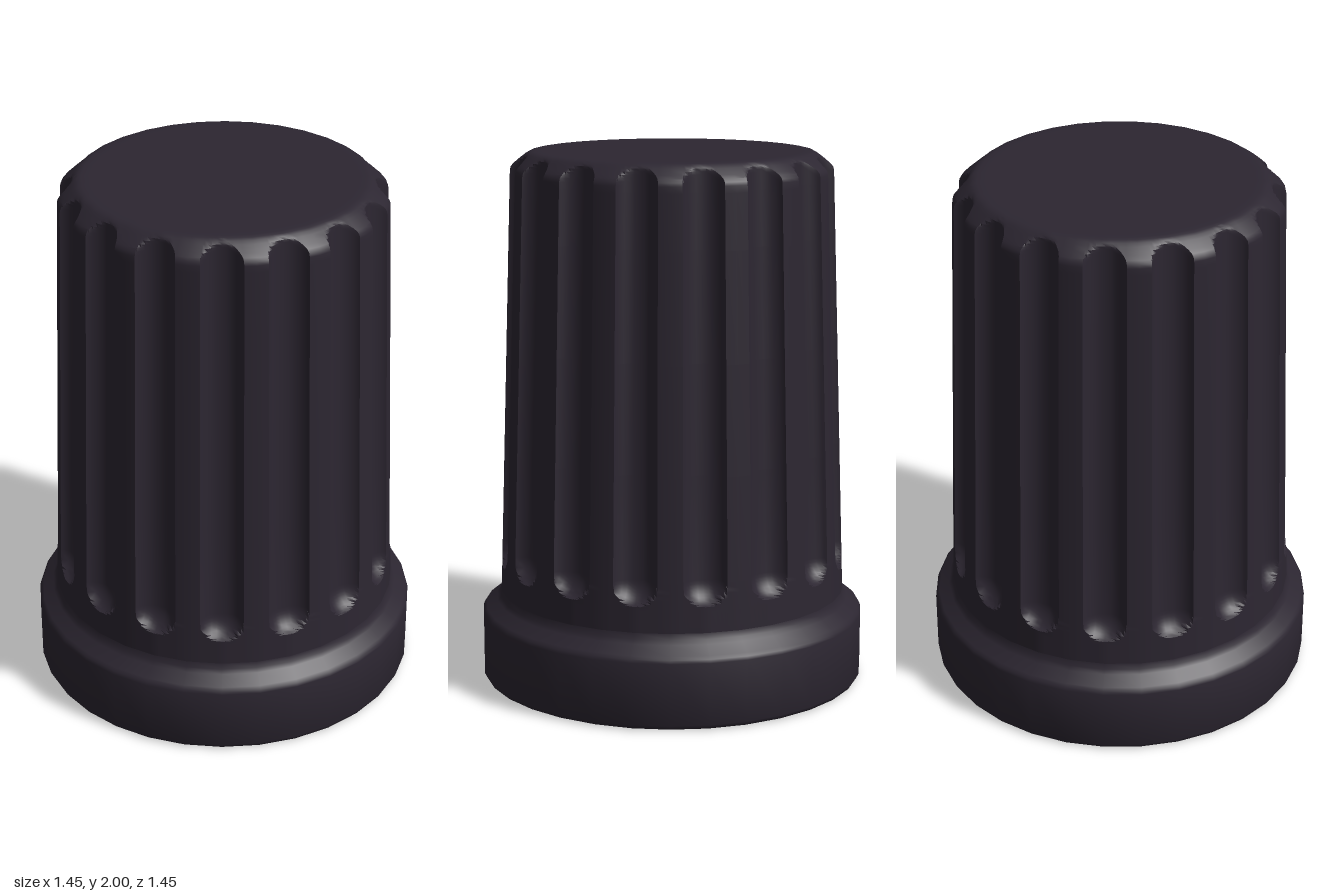
import * as THREE from 'three';
import { toCreasedNormals } from 'three/addons/utils/BufferGeometryUtils.js';

const FLUTES = 16;
const PITCH = (Math.PI * 2) / FLUTES;
const HALF = 0.125;          // half the angular width of a flute
const DEPTH = 0.055;
const FLUTE_END = 0.435;     // height of the rounded lower end
const STEPS = 12;            // columns per flute
const LAND = 2;              // columns per ridge

const points = (list) => list.map(([r, y]) => new THREE.Vector2(r, y));

// Tapered side wall radius
const wall = (y) => 0.655 - 0.055 * (y - 0.33) / 1.6;

// Grip: a lathe whose columns are bunched into flutes and pushed inwards
function gripGeometry() {
  const heights = [0.31, 0.36, 0.42];
  for (let i = 0; i <= 10; i++) heights.push(FLUTE_END + 0.085 * (1 - Math.cos(i / 10 * Math.PI / 2)));
  heights.push(0.9, 1.3, 1.7, 1.9);
  const profile = heights.map((y) => [wall(y), y]);
  profile.push([0.6, 1.925], [0.597, 1.938], [0.588, 1.95], [0.575, 1.961], [0.562, 1.972],
    [0.549, 1.982], [0.537, 1.991], [0.525, 1.997], [0.51, 2], [0.48, 2], [0, 2]);

  const per = STEPS + LAND;
  const geo = new THREE.LatheGeometry(points(profile), FLUTES * per);
  const pos = geo.attributes.position;
  for (let v = 0; v < pos.count; v++) {
    const column = Math.floor(v / profile.length);
    const [radius, y] = profile[v % profile.length];
    const k = column % per;
    const local = k <= STEPS
      ? -HALF * Math.cos(Math.PI * k / STEPS)
      : HALF + (PITCH - 2 * HALF) * (k - STEPS) / LAND;
    const angle = Math.floor(column / per) * PITCH + local;

    // 32-sided outline with corners on the ridges and flute centres
    const phase = Math.abs(local) % (PITCH / 2) - PITCH / 4;
    const facet = Math.cos(PITCH / 4) / Math.cos(phase);

    // Round-ended groove cut into the wall
    const down = Math.max(0, FLUTE_END + 0.085 - y) / 0.085;
    const d = Math.hypot(local / HALF, down);
    const cut = d < 1 ? DEPTH * Math.pow(1 - d * d, 0.65) : 0;
    const r = Math.min(radius, wall(y) - cut) * facet;
    pos.setXYZ(v, r * Math.sin(angle), y, r * Math.cos(angle));
  }
  geo.deleteAttribute('normal');
  geo.deleteAttribute('uv');
  return toCreasedNormals(geo, 0.6);
}

// Collar together with the stepped hollow inside
function collarGeometry() {
  const geo = new THREE.LatheGeometry(points([
    [0, 1.83], [0.43, 1.83], [0.482, 0.37], [0.49, 0.33], [0.545, 0.27], [0.555, 0.24],
    [0.555, 0.012], [0.565, 0], [0.705, 0], [0.719, 0.006], [0.726, 0.02],
    [0.726, 0.25], [0.722, 0.263], [0.712, 0.273], [0.672, 0.304], [0.66, 0.318], [0.655, 0.34],
  ]), 32);
  geo.deleteAttribute('normal');
  geo.deleteAttribute('uv');
  return toCreasedNormals(geo, 0.75);
}

export function createModel() {
  const group = new THREE.Group();
  group.name = 'knob';
  const material = new THREE.MeshStandardMaterial({ color: 0x2c2631 });
  const add = (name, geometry) => {
    const mesh = new THREE.Mesh(geometry, material);
    mesh.name = name;
    group.add(mesh);
  };
  add('flutedGrip', gripGeometry());
  add('collarAndSocket', collarGeometry());
  return group;
}
